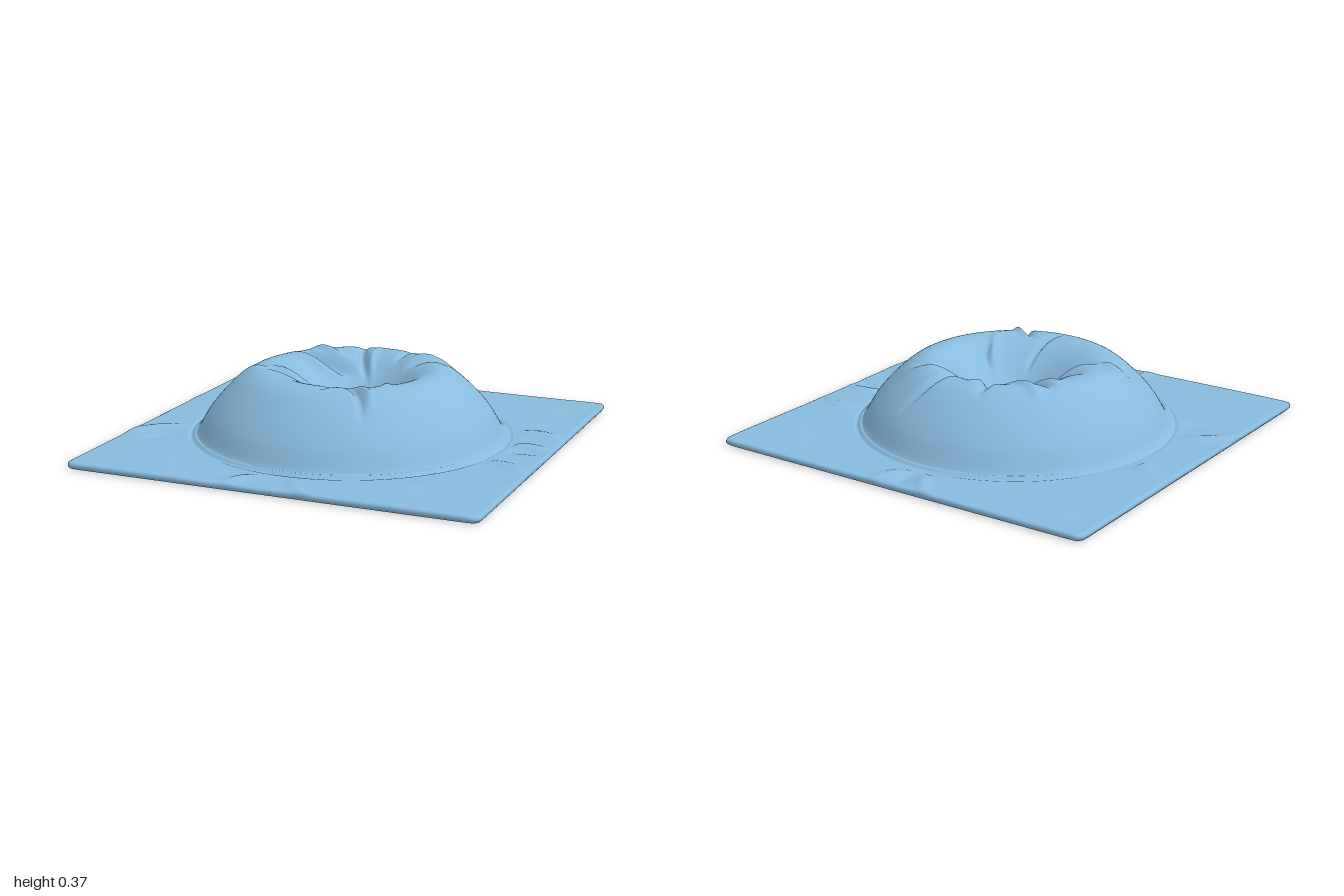
import * as THREE from 'three';

const SEG = 320; // points around each ring

// Square with slightly rounded corners, as a radius for each angle
const squareRadius = (a) =>
  Math.pow(Math.pow(Math.abs(Math.cos(a)), 80) + Math.pow(Math.abs(Math.sin(a) / 0.988), 80), -1 / 80);

// Folds: [x1, z1, x2, z2, width, height]
const domeFolds = [
  [0.0, -0.22, -0.12, -0.5, 0.022, -0.035], [0.03, -0.2, -0.02, -0.45, 0.018, 0.015],
  [-0.06, -0.27, -0.4, -0.37, 0.025, 0.022], [-0.06, -0.24, -0.4, -0.25, 0.025, -0.04],
  [-0.1, -0.2, -0.38, -0.18, 0.03, 0.02], [0.1, -0.28, 0.26, -0.6, 0.02, -0.026],
  [0.14, -0.28, 0.42, -0.38, 0.025, 0.015], [0.17, -0.24, 0.4, -0.3, 0.03, -0.02],
  [-0.16, 0.02, -0.6, 0.2, 0.024, 0.024], [-0.14, 0.08, -0.5, 0.13, 0.026, -0.03],
  [-0.14, -0.05, -0.42, 0.0, 0.03, -0.02], [0.04, 0.14, 0.01, 0.45, 0.016, -0.026],
  [0.14, 0.04, 0.3, 0.32, 0.022, 0.018], [0.19, 0.06, 0.27, 0.2, 0.018, -0.02],
  [0.1, 0.32, 0.28, 0.54, 0.018, -0.03], [0.15, 0.33, 0.3, 0.47, 0.015, 0.018],
];
const sheetFolds = [
  [-0.22, -1, -0.07, -0.78, 0.03, 0.014], [0.12, -1, -0.02, -0.8, 0.03, 0.012],
  [-0.06, -0.98, -0.02, -0.8, 0.03, -0.01], [0.72, -0.3, 1.0, -0.26, 0.04, 0.014],
  [0.76, -0.04, 1.0, -0.06, 0.035, 0.016], [0.76, 0.04, 1.02, 0.02, 0.03, -0.01],
  [0.74, 0.2, 1.0, 0.34, 0.04, 0.014], [-1.02, 0.45, -0.74, 0.2, 0.04, 0.014],
  [-1.02, -0.3, -0.74, -0.1, 0.04, 0.01], [-0.9, 0.52, -0.68, 0.42, 0.04, -0.008],
  [-0.2, 1.0, -0.06, 0.8, 0.035, 0.014], [0.25, 1.0, 0.06, 0.8, 0.035, 0.012],
  [-0.9, -0.85, -0.6, -0.72, 0.06, 0.006], [0.5, 0.8, 0.72, 0.64, 0.05, 0.006],
  [0.62, -0.84, 0.86, -0.62, 0.06, 0.006], [-0.75, 0.9, -0.5, 0.82, 0.05, 0.006],
];

// Sum of soft ridges and grooves that fade out at both ends
function foldHeight(folds, x, z) {
  let sum = 0;
  for (const [x1, z1, x2, z2, w, h] of folds) {
    const dx = x2 - x1, dz = z2 - z1, len = Math.hypot(dx, dz);
    const t = ((x - x1) * dx + (z - z1) * dz) / (len * len);
    if (t <= 0 || t >= 1) continue;
    const bend = 0.03 * Math.sin(Math.PI * t);
    const d = ((x - x1) * dz - (z - z1) * dx) / len - bend;
    sum += h * Math.pow(Math.sin(Math.PI * t), 1.2) * Math.exp(-(d * d) / (w * w));
  }
  return sum;
}

// Smooth skin through a list of rings; each ring maps an angle to [x, y, z]
function skin(rings) {
  const pos = [], index = [];
  rings.forEach((ring, i) => {
    for (let j = 0; j < SEG; j++) {
      pos.push(...ring((j / SEG) * Math.PI * 2));
      if (i === rings.length - 1) continue;
      const a = i * SEG + j, c = i * SEG + ((j + 1) % SEG);
      index.push(a, c, a + SEG, c, c + SEG, a + SEG);
    }
  });
  const g = new THREE.BufferGeometry();
  g.setAttribute('position', new THREE.Float32BufferAttribute(pos, 3));
  g.setIndex(index);
  g.computeVertexNormals();
  return g;
}

export function createModel() {
  const group = new THREE.Group();
  const blue = new THREE.MeshStandardMaterial({ color: 0x88bbdd });
  blue.name = 'soft blue';
  const add = (name, rings) => {
    const mesh = new THREE.Mesh(skin(rings), blue);
    mesh.name = name;
    group.add(mesh);
  };

  // Dome section from the sunken centre, over the rim, down to the seam
  const profile = new THREE.SplineCurve([
    [0.001, 0.135], [0.07, 0.145], [0.15, 0.19], [0.24, 0.265], [0.32, 0.323], [0.41, 0.35],
    [0.5, 0.322], [0.6, 0.238], [0.68, 0.145], [0.735, 0.052], [0.752, 0.04], [0.768, 0.028],
    [0.785, 0.031], [0.8, 0.031],
  ].map(([r, y]) => new THREE.Vector2(r, y)));
  const domeRings = profile.getPoints(110).map((p) => (a) => {
    const shift = Math.max(0, 1 - p.x / 0.45); // the hollow sits a little off centre
    const x = p.x * Math.cos(a) + 0.03 * shift;
    const z = p.x * Math.sin(a) - 0.06 * shift;
    return [x, p.y + foldHeight(domeFolds, x, z), z];
  });
  add('dimpledDome', domeRings);

  // Thin crinkled sheet from the seam out to the rolled edge
  const sheetY = (x, z) => 0.031 + foldHeight(sheetFolds, x, z)
    + 0.002 * Math.sin(5 * x + 2) * Math.sin(6 * z);
  const sheetRings = [];
  for (let i = 0; i <= 36; i++) {
    sheetRings.push((a) => {
      const r = THREE.MathUtils.lerp(0.8, squareRadius(a) * 0.988, i / 36);
      const x = r * Math.cos(a), z = r * Math.sin(a);
      return [x, THREE.MathUtils.lerp(0.031, sheetY(x, z), Math.min(1, i / 4)), z];
    });
  }
  for (const [scale, k] of [[0.996, 0.88], [1, 0.6], [0.998, 0.3], [0.99, 0]]) {
    sheetRings.push((a) => {
      const r = squareRadius(a), x = r * Math.cos(a), z = r * Math.sin(a);
      return [x * scale, sheetY(x * 0.988, z * 0.988) * k, z * scale];
    });
  }
  add('sheet', sheetRings);

  // Flat underside
  add('underside', [0.99, 0.5, 0.001].map((s) => (a) => {
    const r = squareRadius(a) * s;
    return [r * Math.cos(a), 0, r * Math.sin(a)];
  }));
  return group;
}
